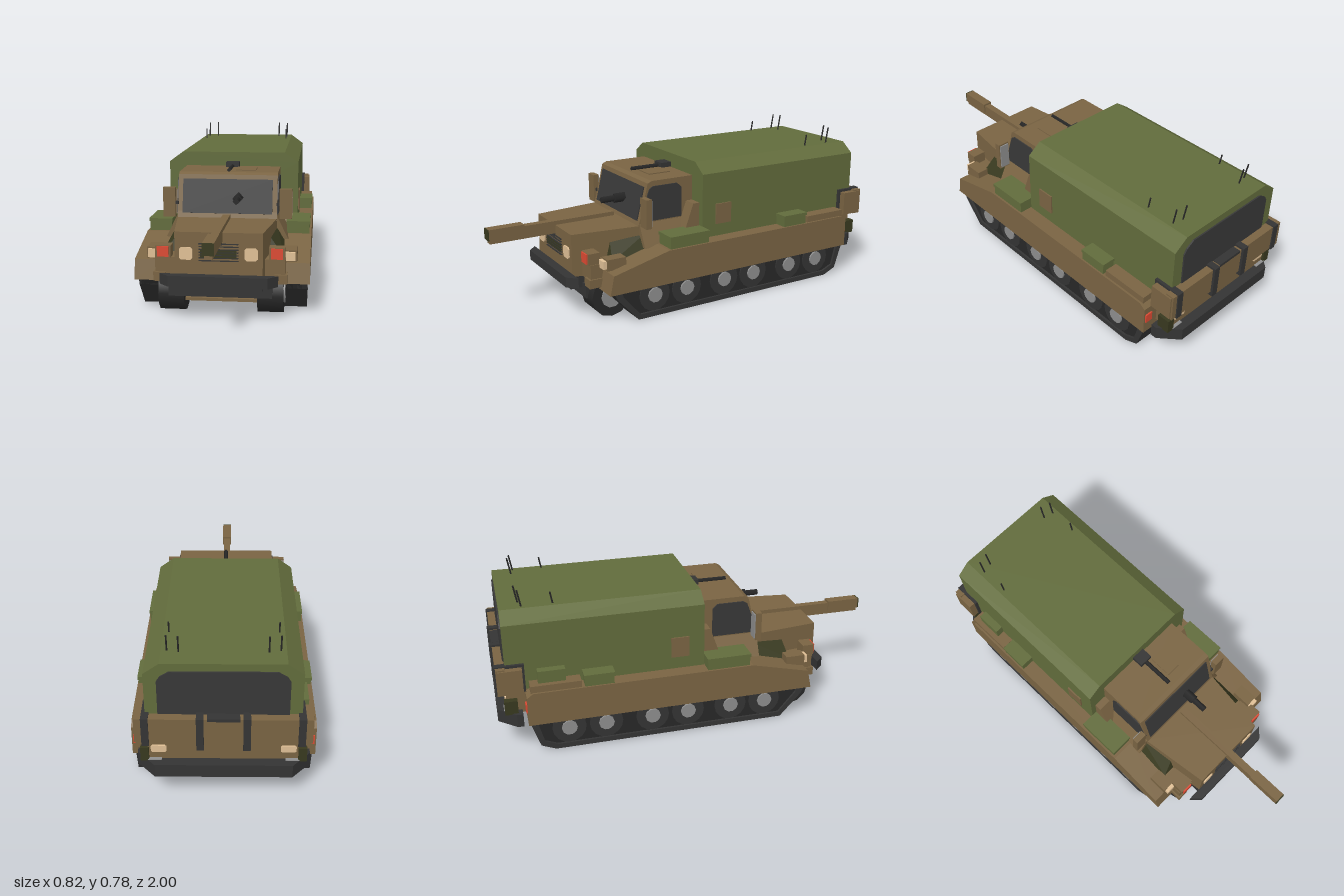
import * as THREE from 'three';
import { ConvexGeometry } from 'three/addons/geometries/ConvexGeometry.js';

const paint = (name, color) => Object.assign(new THREE.MeshStandardMaterial({ color }), { name });

export function createModel() {
  const brown = paint('brown armour', 0x7a6443);
  const green = paint('green canvas', 0x626c3c);
  const dark = paint('dark metal', 0x343434);
  const black = paint('black rubber', 0x282828);
  const glass = paint('dark glass', 0x383838);
  const grey = paint('grey hub', 0x8e8e8e);
  const tan = paint('tan lamp', 0xe0c096);
  const red = paint('red lamp', 0xdc4a33);
  const olive = paint('dark olive vent', 0x38391f);

  const model = new THREE.Group();
  model.name = 'trackedVehicle';
  const add = (name, geo, mat) => {
    const m = new THREE.Mesh(geo, mat);
    m.name = name;
    model.add(m);
    return m;
  };
  // Box given by its limits on each axis
  const box = (name, mat, x0, x1, y0, y1, z0, z1) =>
    add(name, new THREE.BoxGeometry(x1 - x0, y1 - y0, z1 - z0)
      .translate((x0 + x1) / 2, (y0 + y1) / 2, (z0 + z1) / 2), mat);
  // The same box on both sides
  const pair = (name, mat, x0, x1, ...rest) => {
    box(name + 'Left', mat, x0, x1, ...rest);
    box(name + 'Right', mat, -x1, -x0, ...rest);
  };
  const extrude = (pts, depth) => new THREE.ExtrudeGeometry(
    new THREE.Shape(pts.map(p => new THREE.Vector2(...p))), { depth, bevelEnabled: false });
  // Side profile of [z, y] points, spanning x0 to x1
  const side = (name, mat, pts, x0, x1) =>
    add(name, extrude(pts, x1 - x0).rotateY(-Math.PI / 2).translate(x1, 0, 0), mat);
  const sidePair = (name, mat, pts, x0, x1) => {
    side(name + 'Left', mat, pts, x0, x1);
    side(name + 'Right', mat, pts, -x1, -x0);
  };
  // Convex block from half-width points, mirrored in x
  const block = (name, mat, pts) => add(name, new ConvexGeometry(
    pts.flatMap(([x, y, z]) => [new THREE.Vector3(x, y, z), new THREE.Vector3(-x, y, z)])), mat);
  const disc = (name, mat, r, x0, x1, y, z, n = 16) =>
    add(name, new THREE.CylinderGeometry(r, r, x1 - x0, n).rotateZ(Math.PI / 2)
      .translate((x0 + x1) / 2, y, z), mat);
  // Front or rear face plate with clipped corners, c is the clip size
  const plate = (name, mat, x, y, w, h, z, c) => add(name, extrude([[x - w, y - h + c], [x - w + c, y - h],
    [x + w - c, y - h], [x + w, y - h + c], [x + w, y + h - c], [x + w - c, y + h],
    [x - w + c, y + h], [x - w, y + h - c]], 0.007).translate(0, 0, z), mat);

  // Hull, belly and sponsons
  side('belly', olive, [[0.6, 0.17], [0.42, 0.06], [-0.6, 0.06], [-0.6, 0.3], [0.4, 0.3]], -0.21, 0.21);
  side('rearSlope', brown, [[-0.6, 0.06], [-0.9, 0.2], [-0.9, 0.3], [-0.6, 0.3]], -0.21, 0.21);
  box('frontSkid', brown, -0.2, 0.2, 0.06, 0.074, 0.44, 0.56);
  side('deck', brown, [[0.5, 0.16], [-0.86, 0.16], [-0.86, 0.318], [0.25, 0.318], [0.5, 0.26]], -0.3, 0.3);
  sidePair('sponson', brown, [[0.565, 0.155], [0.545, 0.25], [0.25, 0.322], [-0.83, 0.322],
    [-0.86, 0.3], [-0.86, 0.155]], 0.28, 0.41);
  pair('rearShelf', brown, 0.33, 0.4, 0.32, 0.355, -0.84, -0.6);
  box('rearHull', brown, -0.33, 0.33, 0.19, 0.34, -0.95, -0.8);

  // Tracks, road wheels and front wheels
  sidePair('track', black, [[0.54, 0.165], [0.52, 0.12], [0.41, 0.005], [-0.74, 0.005],
    [-0.81, 0.035], [-0.855, 0.165]], 0.2, 0.385);
  sidePair('trackBand', dark, [[0.54, 0.165], [0.52, 0.12], [0.41, 0], [-0.74, 0], [-0.81, 0.03],
    [-0.855, 0.165], [-0.82, 0.165], [-0.79, 0.05], [-0.73, 0.025], [0.4, 0.025], [0.49, 0.13], [0.5, 0.165]],
  0.198, 0.396);
  for (const s of [-1, 1]) {
    const span = (a, b) => (s > 0 ? [a, b] : [-b, -a]);
    for (const z of [0.32, 0.14, -0.08, -0.26, -0.49, -0.67]) {
      disc('roadWheel', dark, 0.082, ...span(0.36, 0.391), 0.108, z);
      disc('roadWheelHub', grey, 0.038, ...span(0.38, 0.4), 0.108, z, 10);
    }
    disc('frontWheel', black, 0.102, ...span(0.17, 0.29), 0.102, 0.5, 12);
    disc('frontWheelHub', grey, 0.055, ...span(0.28, 0.297), 0.102, 0.5, 10);
  }
  box('frontAxle', dark, -0.24, 0.24, 0.095, 0.165, 0.54, 0.61);

  // Bonnet, cab and lower cab flare
  block('bonnet', brown, [[0.245, 0.41, 0.31], [0.2, 0.41, 0.66], [0.245, 0.2, 0.31], [0.2, 0.2, 0.66]]);
  side('cab', brown, [[0.328, 0.4], [0.315, 0.44], [0.272, 0.615], [0.25, 0.625], [0.02, 0.625], [0.02, 0.4]],
    -0.243, 0.243);
  block('lowerCab', brown, [[0.245, 0.42, 0.32], [0.245, 0.42, 0.02], [0.3, 0.31, 0.32], [0.3, 0.31, 0.02]]);
  block('bonnetVent', olive, [[0.222, 0.352, 0.47], [0.248, 0.365, 0.3], [0.285, 0.27, 0.49], [0.295, 0.285, 0.3]]);
  sidePair('cabBrace', brown, [[0.12, 0.32], [0.055, 0.5], [0.02, 0.5], [0.02, 0.32]], 0.24, 0.31);
  const screen = add('windscreen', new THREE.BoxGeometry(0.44, 0.168, 0.009), glass);
  screen.position.set(0, 0.512, 0.2985);
  screen.rotation.x = -0.24;
  sidePair('sideWindow', glass, [[0.302, 0.427], [0.297, 0.5], [0.265, 0.587], [0.245, 0.599],
    [0.11, 0.599], [0.085, 0.575], [0.085, 0.427]], 0.243, 0.249);
  pair('mirror', brown, 0.255, 0.315, 0.41, 0.555, 0.29, 0.32);
  pair('mirrorGlass', grey, 0.26, 0.31, 0.418, 0.547, 0.284, 0.29);
  pair('mirrorArm', dark, 0.24, 0.26, 0.47, 0.485, 0.295, 0.31);

  // Front end: grille, lamps and bumper
  box('grille', olive, -0.082, 0.082, 0.295, 0.33, 0.66, 0.666);
  for (let i = 0; i < 7; i++) {
    const y = 0.278 + i * 0.013;
    box('grilleSlat', dark, -0.09, 0.09, y, y + 0.004, 0.66, 0.667);
  }
  box('grilleSight', glass, -0.016, 0.016, 0.352, 0.395, 0.66, 0.667);
  for (const s of [-1, 1]) plate('headlamp', tan, s * 0.148, 0.312, 0.03, 0.029, 0.66, 0.009);
  pair('lampBox', brown, 0.225, 0.297, 0.28, 0.335, 0.56, 0.62);
  pair('redLamp', red, 0.235, 0.288, 0.284, 0.333, 0.62, 0.627);
  pair('lampBracket', brown, 0.2, 0.3, 0.2, 0.28, 0.5, 0.61);
  pair('fenderStep', brown, 0.29, 0.35, 0.255, 0.31, 0.45, 0.548);
  pair('fenderLamp', tan, 0.296, 0.343, 0.264, 0.303, 0.548, 0.566);
  pair('towBracket', brown, 0.25, 0.308, 0.167, 0.21, 0.55, 0.62);
  block('frontBumper', dark, [[0.27, 0.166, 0.66], [0.27, 0.216, 0.66], [0.225, 0.166, 0.705], [0.225, 0.216, 0.705]]);
  box('bumperMount', dark, -0.2, 0.2, 0.14, 0.2, 0.58, 0.67);

  // Main gun
  box('gunBarrel', brown, -0.018, 0.018, 0.368, 0.43, 0.34, 0.99);
  box('gunMuzzle', brown, -0.025, 0.025, 0.387, 0.44, 0.82, 0.994);
  box('gunMuzzleFace', olive, -0.025, 0.025, 0.387, 0.44, 0.994, 1);

  // Windscreen gun and roof gun
  const barrel = (name, r, x, y, z0, z1) => add(name,
    new THREE.CylinderGeometry(r, r, z1 - z0, 4).rotateX(Math.PI / 2).translate(x, y, (z0 + z1) / 2), black);
  barrel('screenGun', 0.024, 0.055, 0.51, 0.29, 0.36);
  barrel('screenGunTip', 0.016, 0.055, 0.51, 0.35, 0.43);
  box('roofGunBody', dark, -0.034, 0.034, 0.62, 0.65, 0.0, 0.075);
  barrel('roofGunBarrel', 0.011, 0, 0.632, 0.07, 0.23);
  box('roofHatch', brown, 0.03, 0.13, 0.62, 0.63, 0.08, 0.2);

  // Shelter with chamfered roof
  add('shelter', extrude([[-0.335, 0.315], [0.335, 0.315], [0.335, 0.645], [0.265, 0.696],
    [-0.265, 0.696], [-0.335, 0.645]], 0.96).translate(0, 0, -0.943), green);
  add('rearWindow', extrude([[-0.28, 0.4], [0.28, 0.4], [0.28, 0.61], [0.265, 0.635], [0.225, 0.66],
    [-0.225, 0.66], [-0.265, 0.635], [-0.28, 0.61]], 0.008).translate(0, 0, -0.95), glass);
  pair('sidePanel', brown, 0.335, 0.342, 0.385, 0.488, -0.15, -0.06);

  // Antennas
  for (const [x, z, top] of [[0.19, -0.85, 0.78], [0.24, -0.838, 0.777], [0.24, -0.69, 0.752]])
    for (const s of [-1, 1]) {
      const h = top - 0.69;
      const a = add('antenna', new THREE.CylinderGeometry(0.004, 0.004, h, 6), black);
      a.position.set(s * x, 0.69 + h / 2, z - 0.008);
      a.rotation.x = -0.17;
    }

  // Stowage on the fenders
  const stow = (name, x0, x1, z0, z1, top) => {
    pair(name, green, x0, x1, 0.318, top, z0, z1);
    pair(name + 'Lid', green, x0 - 0.004, x1 + 0.004, top - 0.012, top + 0.003, z0 - 0.004, z1 + 0.004);
  };
  stow('frontStowage', 0.29, 0.4, 0.02, 0.235, 0.38);
  stow('middleStowage', 0.335, 0.402, -0.585, -0.445, 0.378);
  box('rearStowage', green, -0.375, -0.32, 0.33, 0.415, -0.8, -0.67);

  // Rear rack with straps
  box('rearRack', brown, -0.375, 0.375, 0.312, 0.445, -0.988, -0.945);
  pair('rackSide', brown, 0.335, 0.382, 0.317, 0.438, -0.98, -0.868);
  pair('rackFrame', dark, 0.318, 0.35, 0.308, 0.45, -0.994, -0.856);
  pair('rackStrap', dark, 0.084, 0.116, 0.29, 0.455, -1, -0.94);
  box('rackTop', dark, -0.07, 0.07, 0.435, 0.449, -0.99, -0.95);

  // Rear bumper with angled ends, and lamps
  block('rearBumper', dark, [[0.38, 0.14, -0.88], [0.38, 0.205, -0.88], [0.38, 0.14, -0.91], [0.38, 0.205, -0.91],
    [0.3, 0.14, -0.997], [0.3, 0.205, -0.997]]);
  pair('bumperCap', grey, 0.27, 0.33, 0.205, 0.209, -0.965, -0.95);
  pair('rearRedLamp', red, 0.365, 0.403, 0.22, 0.265, -0.867, -0.86);
  for (const s of [-1, 1]) plate('rearTanLamp', tan, s * 0.282, 0.262, 0.034, 0.017, -0.957, 0.006);
  pair('rearCan', olive, 0.325, 0.362, 0.2, 0.27, -0.962, -0.9);
  return model;
}
